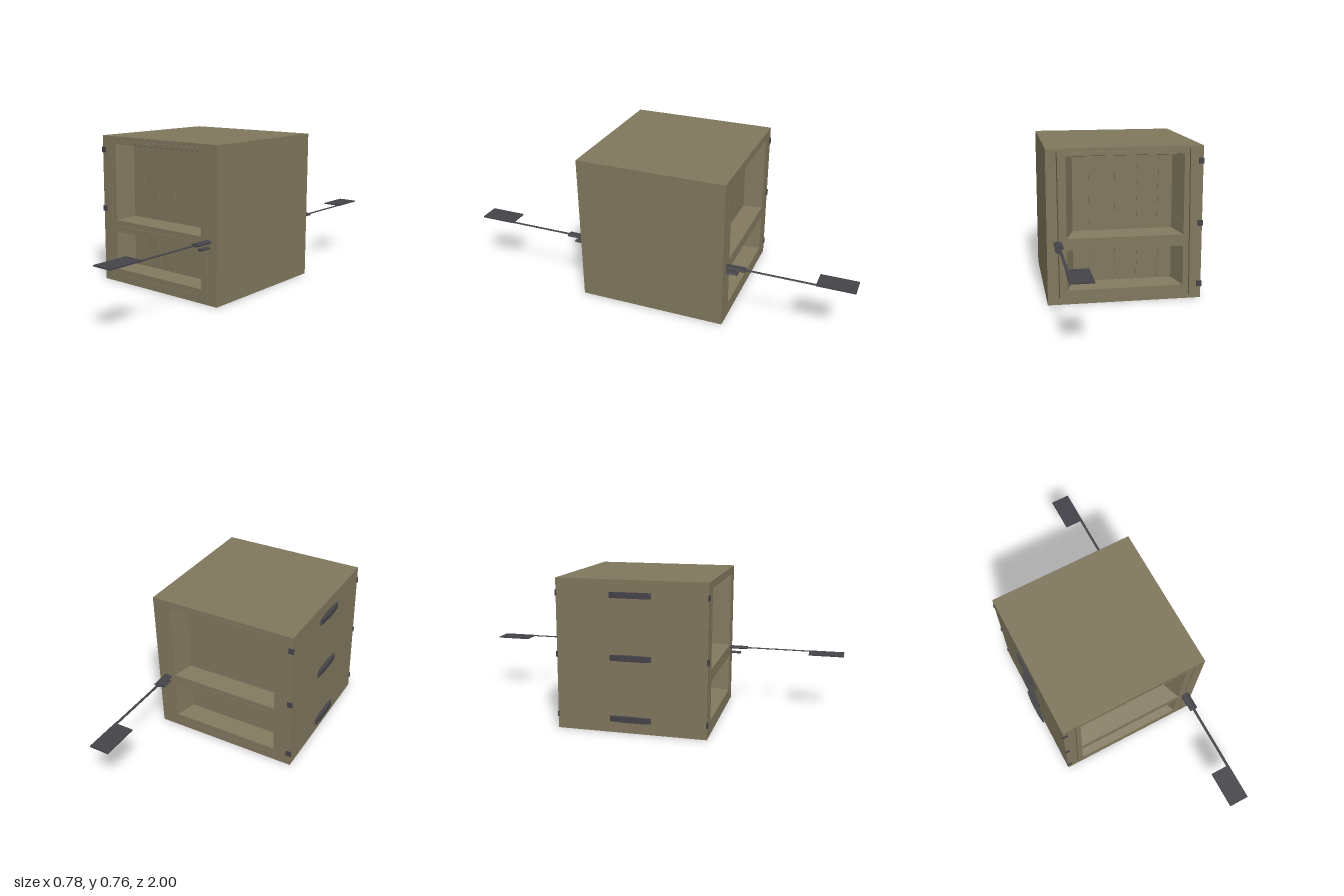
import * as THREE from 'three';

const L = -0.37, R = 0.39, H = 0.763, Z = 0.38, PLATE = 0.287;

// quad corners, counter-clockwise from lower left
const rect = (x0, x1, y0, y1) => [[x0, y0], [x1, y0], [x1, y1], [x0, y1]];

// upright slit leaning from bottom centre xb to top centre xt
const slit = (xb, xt, y0, y1, w) =>
  [[xb - w, y0], [xb + w, y0], [xt + w, y1], [xt - w, y1]];

const toPoints = (quad) => quad.map(([x, y]) => new THREE.Vector2(x, y));

export function createModel() {
  const group = new THREE.Group();
  const wood = new THREE.MeshStandardMaterial({ color: 0x80775d, side: THREE.DoubleSide });
  wood.name = 'olive brown wood';
  const metal = new THREE.MeshStandardMaterial({ color: 0x434349 });
  metal.name = 'dark metal';

  const add = (name, geometry, material, x = 0, y = 0, z = 0) => {
    const mesh = new THREE.Mesh(geometry, material);
    mesh.name = name;
    mesh.position.set(x, y, z);
    group.add(mesh);
    return mesh;
  };

  // flat sheet with cut-outs
  const sheet = (name, holes, z) => {
    const shape = new THREE.Shape(toPoints(rect(L, R, 0, H)));
    holes.forEach((h) => shape.holes.push(new THREE.Path(toPoints(h).reverse())));
    add(name, new THREE.ShapeGeometry(shape), wood, 0, 0, z);
  };

  // four walls joining an outer quad to an inner quad, with an optional floor
  const pocket = (name, outer, inner, z0, z1, floor = false) => {
    const p = [];
    const tri = (a, b, c) => p.push(...a, ...b, ...c);
    const o = outer.map((v) => [...v, z0]), n = inner.map((v) => [...v, z1]);
    for (let i = 0; i < 4; i++) {
      const j = (i + 1) % 4;
      tri(o[i], o[j], n[j]);
      tri(o[i], n[j], n[i]);
    }
    if (floor) {
      tri(n[0], n[1], n[2]);
      tri(n[0], n[2], n[3]);
    }
    const g = new THREE.BufferGeometry();
    g.setAttribute('position', new THREE.Float32BufferAttribute(p, 3));
    g.computeVertexNormals();
    add(name, g, wood);
  };

  // plain top and sides; the underside stays open
  const top = add('top', new THREE.PlaneGeometry(R - L, 2 * Z), wood, (L + R) / 2, H, 0);
  top.rotation.x = -Math.PI / 2;
  add('leftSide', new THREE.PlaneGeometry(2 * Z, H), wood, R, H / 2, 0).rotation.y = Math.PI / 2;
  add('rightSide', new THREE.PlaneGeometry(2 * Z, H), wood, L, H / 2, 0).rotation.y = -Math.PI / 2;

  // bevelled panel recesses
  const recesses = [
    [rect(-0.278, 0.295, 0.328, 0.725), rect(-0.238, 0.256, 0.343, 0.71)],
    [rect(-0.278, 0.295, 0.07, 0.27), rect(-0.238, 0.256, 0.085, 0.256)],
  ];
  // joints between the frame boards
  const joints = [
    slit(-0.31, -0.304, 0.015, 0.748, 0.0025),
    slit(0.333, 0.338, 0.015, 0.748, 0.0025),
    ...[0.037, 0.3, 0.743].map((y) => rect(-0.254, 0.27, y - 0.0007, y + 0.0007)),
  ];
  // gaps between the panel boards: upper and lower
  const gaps = [
    [-0.161, -0.169], [-0.057, -0.066], [0.047, 0.053], [0.175, 0.18],
  ].map(([b, t]) => slit(b, t, 0.348, 0.704, 0.002)).concat([
    [-0.161, -0.169], [-0.057, -0.064], [0.045, 0.052], [0.171, 0.18],
  ].map(([b, t]) => slit(b, t, 0.091, 0.25, 0.002)));

  // the same door face and lever on front and back
  for (const s of [1, -1]) {
    const side = s > 0 ? 'front' : 'back';
    sheet(`${side}Frame`, [...recesses.map((r) => r[0]), ...joints], s * Z);
    sheet(`${side}Panels`, gaps, s * PLATE);
    recesses.forEach(([o, n]) => pocket(`${side}PanelRecess`, o, n, s * Z, s * PLATE));
    joints.forEach((q) => pocket(`${side}FrameJoint`, q, q, s * Z, s * PLATE));
    gaps.forEach((q) => pocket(`${side}PanelGap`, q, q, s * PLATE, s * (PLATE - 0.004), true));

    // oval rose and keyhole cover
    const oval = (name, x, y, rx, ry, depth) => {
      const g = new THREE.CylinderGeometry(1, 1, depth, 20).rotateX(Math.PI / 2).scale(rx, ry, 1);
      add(name, g, metal, x, y, s * (Z + depth / 2));
    };
    oval(`${side}HandleRose`, 0.338, 0.309, 0.021, 0.008, 0.095);
    oval(`${side}KeyholeCover`, 0.338, 0.28, 0.016, 0.006, 0.058);

    // spindle and lever
    const spindle = new THREE.CylinderGeometry(1, 1, 0.36, 10).rotateX(Math.PI / 2).scale(0.007, 0.003, 1);
    add(`${side}Spindle`, spindle, metal, 0.338, 0.309, s * 0.65);
    add(`${side}Lever`, new THREE.BoxGeometry(0.102, 0.006, 0.185), metal, 0.294, 0.309, s * 0.9075);
  }

  // hinges: stretched knuckle on the side, leaf on each face
  for (const y of [0.073, 0.382, 0.69]) {
    const knuckle = new THREE.CylinderGeometry(1, 1, 0.028, 12).toNonIndexed().scale(0.01, 1, 0.105);
    knuckle.computeVertexNormals();
    add('hingeKnuckle', knuckle, metal, -0.38, y, 0);
    for (const s of [1, -1]) {
      add('hingeLeaf', new THREE.BoxGeometry(0.026, 0.028, 0.008), metal, -0.361, y, s * Z);
    }
  }
  return group;
}
